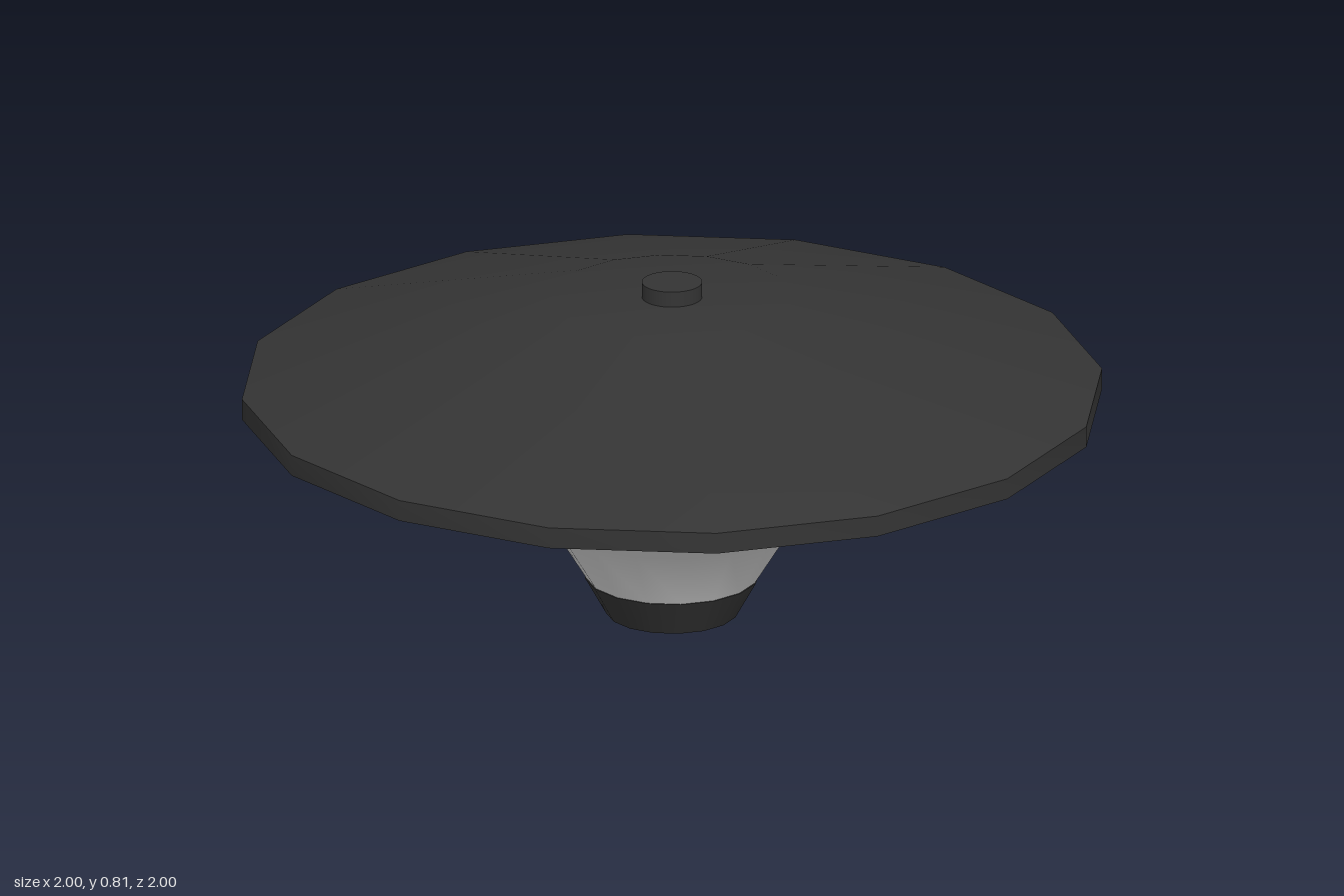
import * as THREE from 'three';
import { toCreasedNormals } from 'three/addons/utils/BufferGeometryUtils.js';

const SIDES = 16;

export function createModel() {
  const lamp = new THREE.Group();
  lamp.name = 'pendantLamp';

  const darkMetal = new THREE.MeshStandardMaterial({ color: 0x343434, side: THREE.DoubleSide });
  darkMetal.name = 'dark metal';
  const frostedGlass = new THREE.MeshStandardMaterial({ color: 0xd8d8d8, side: THREE.DoubleSide });
  frostedGlass.name = 'frosted glass';

  // Turned part from [radius, height] pairs, listed bottom to top
  const turned = (profile) =>
    new THREE.LatheGeometry(profile.map(([r, y]) => new THREE.Vector2(r, y)), SIDES);

  const add = (name, geometry, material, y = 0) => {
    const mesh = new THREE.Mesh(geometry, material);
    mesh.name = name;
    mesh.position.y = y;
    lamp.add(mesh);
  };

  // Hollow shallow shade with a short upright rim
  const shade = turned([[1, 0.51], [1, 0.56], [0.28, 0.775], [0, 0.775]]);
  add('shade', toCreasedNormals(shade, 0.8), darkMetal);

  // Flared diffuser, its upright lip reaching up into the shade
  add('diffuser', turned([[0.2, 0.09], [0.29, 0.235], [0.65, 0.487], [0.65, 0.66]]), frostedGlass);

  // Tapered cap closing the bottom of the diffuser
  add('bottomCap', new THREE.CylinderGeometry(0.203, 0.153, 0.09, SIDES), darkMetal, 0.045);

  // Cable knob on top
  add('topKnob', new THREE.CylinderGeometry(0.07, 0.07, 0.05, 32), darkMetal, 0.787);

  return lamp;
}
